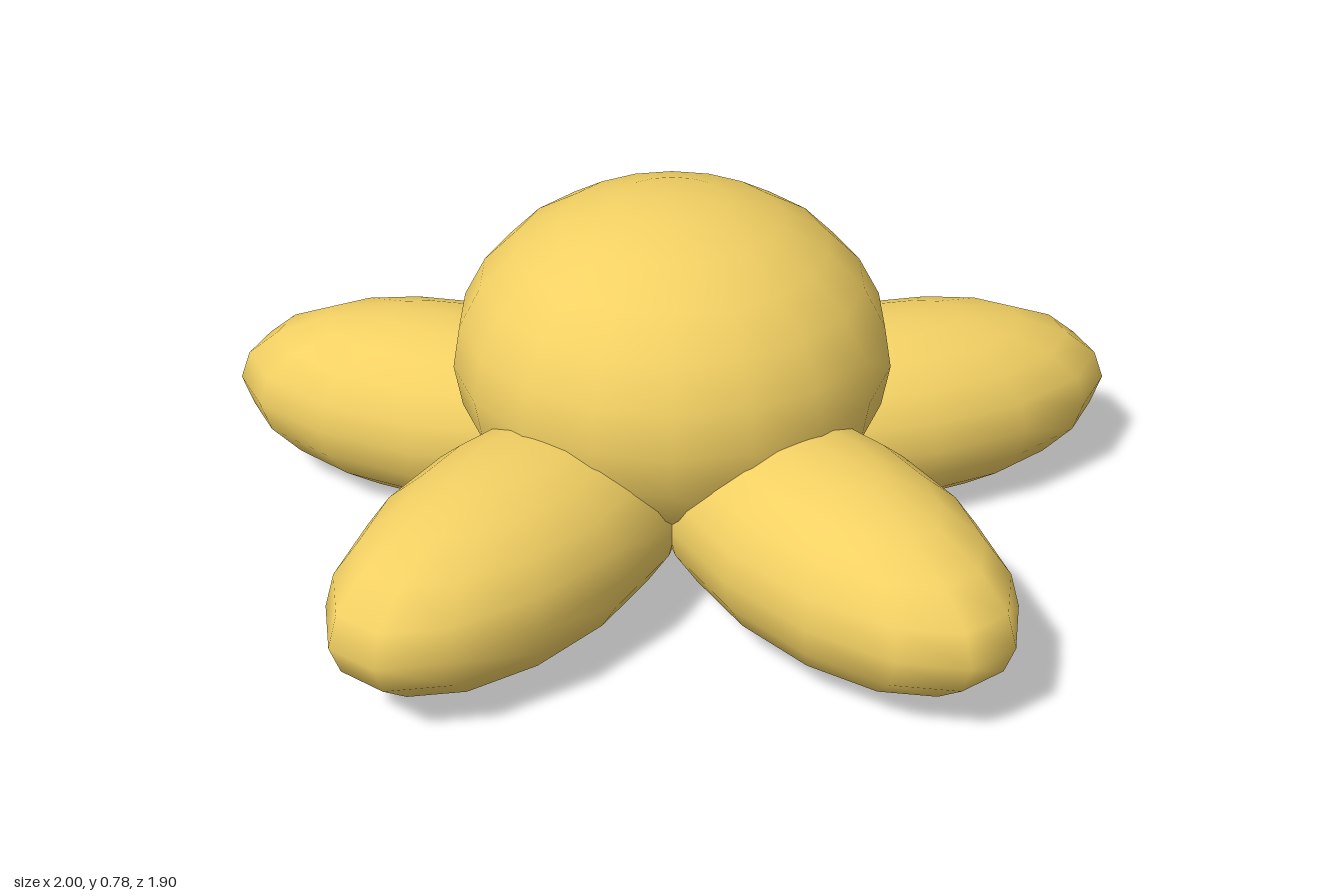
import * as THREE from 'three';

const gold = new THREE.MeshStandardMaterial({ color: 0xf2d063 });

// Ellipsoid whose lowest ring closes in a flat base.
function flatBottomEllipsoid(rx, ry, rz, widthSegs, heightSegs) {
  const geo = new THREE.SphereGeometry(1, widthSegs, heightSegs);
  const pos = geo.attributes.position;
  const floor = -Math.cos(Math.PI / heightSegs);
  for (let i = 0; i < pos.count; i++) pos.setY(i, Math.max(pos.getY(i), floor));
  geo.scale(rx, ry, rz);
  return geo;
}

export function createModel() {
  const model = new THREE.Group();
  model.name = 'flower';

  const flower = new THREE.Group();
  flower.name = 'flowerHead';
  flower.position.z = 0.078;
  model.add(flower);

  // Domed centre
  const centre = new THREE.Mesh(flatBottomEllipsoid(0.475, 0.364, 0.475, 18, 12), gold);
  centre.name = 'centre';
  centre.position.y = 0.421;
  centre.rotation.y = Math.PI / 2;
  flower.add(centre);

  // Five petals, the first pointing to the back
  const petalGeo = flatBottomEllipsoid(0.257, 0.215, 0.518, 14, 10);
  petalGeo.translate(0, 0.2045, -0.528);
  for (let i = 0; i < 5; i++) {
    const petal = new THREE.Mesh(petalGeo, gold);
    petal.name = 'petal' + (i + 1);
    petal.rotation.y = (i * 2 * Math.PI) / 5;
    flower.add(petal);
  }
  return model;
}
